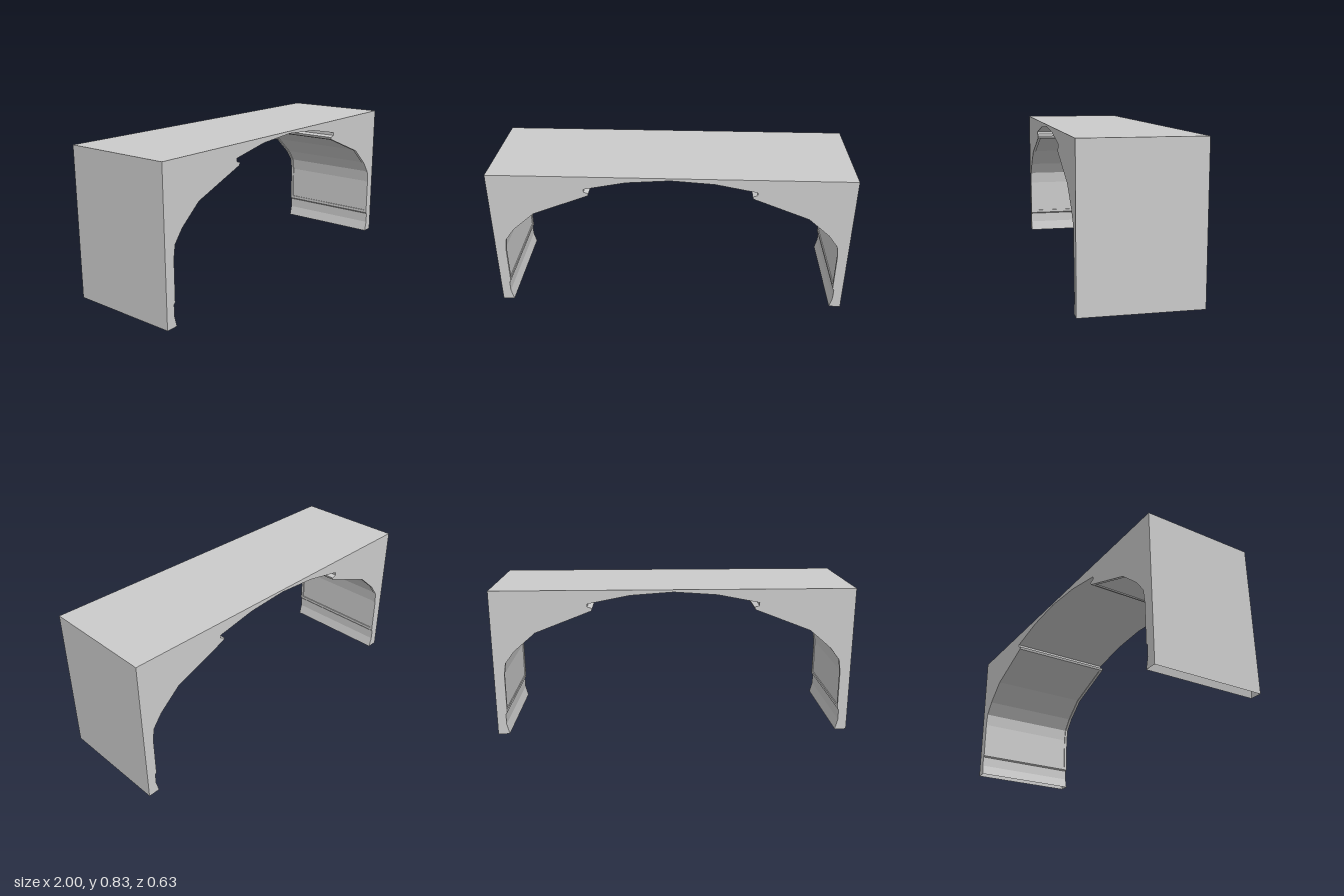
import * as THREE from 'three';

const HALF_DEPTH = 0.315, HEIGHT = 0.83;
const PANEL_HALF = 0.298, RECESS = 0.006;

const material = new THREE.MeshStandardMaterial({
  color: 0xcccccc, flatShading: true, side: THREE.DoubleSide,
});

// Half of the arch underside, from the foot up to the crown
const foot = [[0.935, 0], [0.95, 0.06], [0.95, 0.12], [0.942, 0.128], [0.942, 0.145]];
const panel = [[0.942, 0.145], [0.942, 0.35], [0.932, 0.42], [0.88, 0.49], [0.76, 0.594], [0.465, 0.709]];
const crown = [[0.465, 0.709], [0.449, 0.715], [0.443, 0.729], [0.47, 0.738], [0.47, 0.755],
  [0.24, 0.8], [0, 0.817]];

const mirrored = (path) => path.map(([x, y]) => [-x, y]).reverse();

// Surface made from quads, each given by four corners in counter-clockwise order
function quads(list) {
  const positions = [];
  for (const [a, b, c, d] of list) positions.push(...a, ...b, ...c, ...a, ...c, ...d);
  const geometry = new THREE.BufferGeometry();
  geometry.setAttribute('position', new THREE.Float32BufferAttribute(positions, 3));
  geometry.computeVertexNormals();
  return geometry;
}

// Sweep an x-y path along z; it faces the left of the path
function sweep(path, z0, z1) {
  return quads(path.slice(1).map((q, i) => {
    const p = path[i];
    return [[...p, z0], [...p, z1], [...q, z1], [...q, z0]];
  }));
}

// Flat wall between two matching paths at one depth
function wall(a, b, z) {
  return quads(a.slice(1).map((q, i) => [[...a[i], z], [...q, z], [...b[i + 1], z], [...b[i], z]]));
}

// Move a path to its right by a distance
function offset(path, distance) {
  return path.map(([x, y], i) => {
    const p = path[Math.max(i - 1, 0)], q = path[Math.min(i + 1, path.length - 1)];
    const dx = q[0] - p[0], dy = q[1] - p[1], len = Math.hypot(dx, dy);
    return [x + dy / len * distance, y - dx / len * distance];
  });
}

export function createModel() {
  const model = new THREE.Group();
  model.name = 'archedBridge';
  const add = (name, geometry, parent = model) => {
    const mesh = new THREE.Mesh(geometry, material);
    mesh.name = name;
    parent.add(mesh);
    return mesh;
  };

  // Outer sides and top; the feet stay open underneath
  add('outerShell', sweep([[-1, 0], [-1, HEIGHT], [1, HEIGHT], [1, 0]], -HALF_DEPTH, HALF_DEPTH));

  // Front and back faces
  const half = [...foot, ...panel.slice(1), ...crown.slice(1)];
  const outline = [[-1, 0], [-1, HEIGHT], [1, HEIGHT], [1, 0], ...half, ...mirrored(half).slice(1)];
  const shape = new THREE.Shape(outline.map(([x, y]) => new THREE.Vector2(x, y)));
  add('frontFace', new THREE.ShapeGeometry(shape)).position.z = HALF_DEPTH;
  const back = add('backFace', new THREE.ShapeGeometry(shape));
  back.position.z = -HALF_DEPTH;
  back.rotation.y = Math.PI;

  // Underside of each half: foot, recessed panel with rim, lip and crown
  for (const [side, flip] of [['left', (p) => p], ['right', mirrored]]) {
    const group = new THREE.Group();
    group.name = side + 'Underside';
    model.add(group);
    add('foot', sweep(flip(foot), -HALF_DEPTH, HALF_DEPTH), group);
    add('crown', sweep(flip(crown), -HALF_DEPTH, HALF_DEPTH), group);

    const rim = flip(panel), sunk = offset(rim, RECESS);
    add('recessedPanel', sweep([rim[0], ...sunk, rim[rim.length - 1]], -PANEL_HALF, PANEL_HALF), group);
    add('frontRim', sweep(rim, PANEL_HALF, HALF_DEPTH), group);
    add('backRim', sweep(rim, -HALF_DEPTH, -PANEL_HALF), group);
    add('frontRimEdge', wall(rim, sunk, PANEL_HALF), group);
    add('backRimEdge', wall(sunk, rim, -PANEL_HALF), group);
  }
  return model;
}
